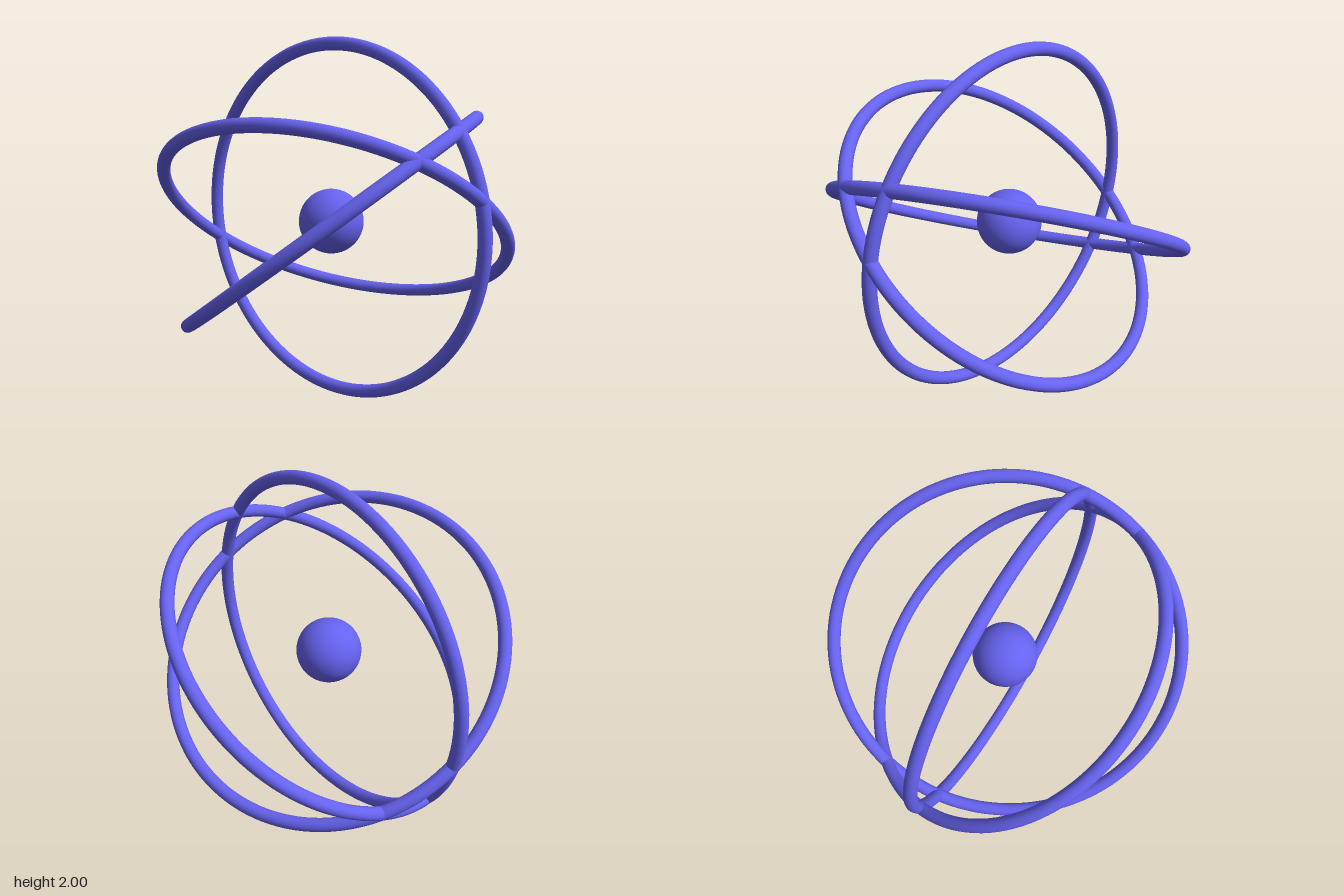
import * as THREE from 'three';

export function createModel() {
  const model = new THREE.Group();
  const material = new THREE.MeshStandardMaterial({ color: 0x6662f0 });

  function add(name, geometry, x, y, z) {
    const mesh = new THREE.Mesh(geometry, material);
    mesh.name = name;
    mesh.position.set(x, y, z);
    model.add(mesh);
    return mesh;
  }

  // Central ball
  add('nucleus', new THREE.SphereGeometry(0.18, 48, 32), 0, 1, -0.01);

  // Three equal orbit rings, each turned so its axis follows a given normal
  const tilt = 0.4;
  const ringGeometry = new THREE.TorusGeometry(0.963, 0.036, 20, 128);
  const torusAxis = new THREE.Vector3(0, 0, 1);
  const c = Math.cos(tilt), s = Math.sin(tilt);
  const side = c * Math.cos(Math.PI / 3), rise = c * Math.sin(Math.PI / 3);
  const orbits = [
    ['uprightOrbit', c, 0],
    ['leftOrbit', side, rise],
    ['rightOrbit', -side, rise],
  ];
  for (const [name, nx, ny] of orbits) {
    const normal = new THREE.Vector3(nx, ny, -s);
    add(name, ringGeometry, 0, 1, 0).quaternion.setFromUnitVectors(torusAxis, normal);
  }

  return model;
}
